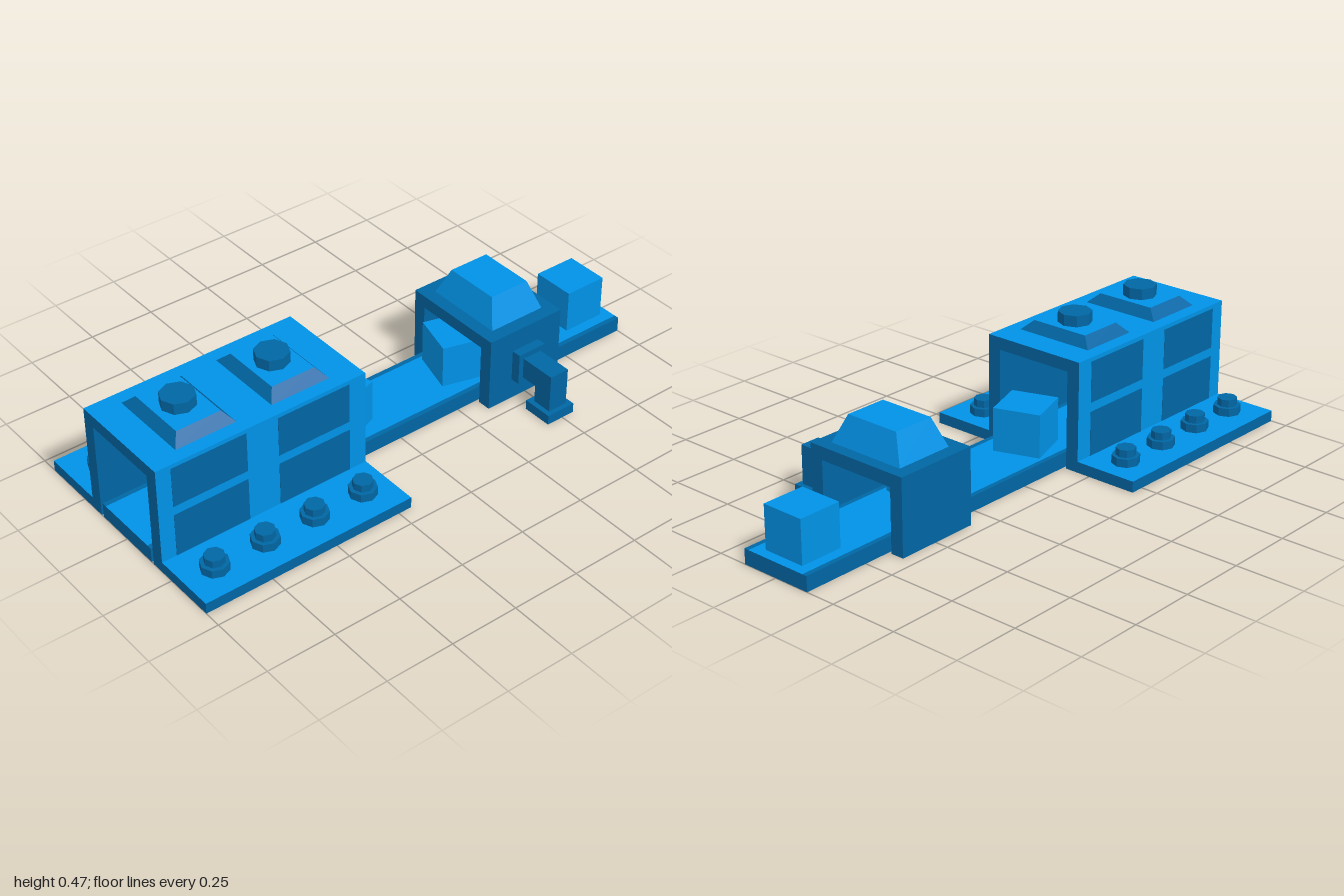
import * as THREE from 'three';

export function createModel() {
  const model = new THREE.Group();
  const light = new THREE.MeshStandardMaterial({ color: 0x0092e6 });
  light.name = 'bright blue';
  const dark = new THREE.MeshStandardMaterial({ color: 0x0066a4 });
  dark.name = 'deep blue';

  function add(name, geometry, material, parent = model) {
    const mesh = new THREE.Mesh(geometry, material);
    mesh.name = name;
    parent.add(mesh);
    return mesh;
  }

  // Box given by its lowest and highest corner
  function block(name, [x0, y0, z0], [x1, y1, z1], material, parent) {
    const g = new THREE.BoxGeometry(x1 - x0, y1 - y0, z1 - z0);
    g.translate((x0 + x1) / 2, (y0 + y1) / 2, (z0 + z1) / 2);
    return add(name, g, material, parent);
  }

  // Box face order: +x, -x, +y, -y, +z, -z
  const lightTop = [dark, dark, light, dark, dark, dark];
  const sheet = [dark, dark, light, light, dark, dark];
  const rail = [dark, dark, dark, light, dark, dark];

  // Thin-walled slab, open underneath; railWidth gives dark strips along its top
  function hollowSlab(name, x0, x1, z0, z1, h, railWidth) {
    const group = new THREE.Group();
    group.name = name;
    model.add(group);
    const t = 0.003;
    const y = h - t;
    block(name + 'Top', [x0 + railWidth, y, z0], [x1 - railWidth, h, z1], sheet, group);
    if (railWidth) {
      block(name + 'Rail', [x0, y, z0], [x0 + railWidth, h, z1], rail, group);
      block(name + 'Rail', [x1 - railWidth, y, z0], [x1, h, z1], rail, group);
    }
    block(name + 'Side', [x0, 0, z0], [x0 + t, y, z1], dark, group);
    block(name + 'Side', [x1 - t, 0, z0], [x1, y, z1], dark, group);
    block(name + 'End', [x0 + t, 0, z0], [x1 - t, y, z0 + t], dark, group);
    block(name + 'End', [x0 + t, 0, z1 - t], [x1 - t, y, z1], dark, group);
  }

  // Four-sided block with sloping sides; half sizes at base and top
  function frustum(name, [bx, bz], [tx, tz], h, material) {
    const g = new THREE.BoxGeometry(2, h, 2);
    const p = g.attributes.position;
    for (let i = 0; i < p.count; i++) {
      const top = p.getY(i) > 0;
      p.setX(i, p.getX(i) * (top ? tx : bx));
      p.setZ(i, p.getZ(i) * (top ? tz : bz));
    }
    g.translate(0, h / 2, 0);
    g.computeVertexNormals();
    return add(name, g, material);
  }

  // Octagonal prism with flat sides
  function octagon(name, r, h, x, y, z) {
    const g = new THREE.CylinderGeometry(r, r, h, 8).toNonIndexed();
    g.computeVertexNormals();
    add(name, g, dark).position.set(x, y + h / 2, z);
  }

  // Conveyor with side rails
  hollowSlab('conveyor', -0.138, 0.138, -1, 1, 0.055, 0.018);

  // Cargo boxes riding on the belt
  for (const [z, size, turn] of [[0.163, 0.17, 0.33], [-0.35, 0.17, -0.27], [-0.882, 0.162, 0]]) {
    const box = add('cargoBox', new THREE.BoxGeometry(size, 0.158, size), light);
    box.position.set(0, 0.134, z);
    box.rotation.y = turn;
  }

  // Tunnel: walls, side panels, bolted flanges
  for (const s of [-1, 1]) {
    const span = (a, b) => (s > 0 ? [a, b] : [-b, -a]);
    const [f0, f1] = span(0.15, 0.437);
    hollowSlab('flange', f0, f1, 0.2, 1, 0.04, 0);
    const [w0, w1] = span(0.15, 0.2);
    const wallMaterials = [s > 0 ? light : dark, s > 0 ? dark : light, light, light, dark, dark];
    block('tunnelWall', [w0, 0.038, 0.2], [w1, 0.355, 1], wallMaterials);

    const [p0, p1] = span(0.199, 0.201);
    for (const z of [0.265, 0.665]) {
      for (const [y0, y1] of [[0.04, 0.203], [0.236, 0.385]]) {
        block('sidePanel', [p0, y0, z], [p1, y1, z + 0.28], dark);
      }
    }
    for (const z of [0.307, 0.501, 0.694, 0.886]) {
      octagon('flangeNut', 0.049, 0.03, s * 0.322, 0.04, z);
      octagon('flangeBolt', 0.035, 0.027, s * 0.322, 0.07, z);
    }
  }
  block('tunnelRoof', [-0.2, 0.355, 0.2], [0.2, 0.4, 1], [light, light, light, dark, dark, dark]);

  // Roof mounts with large bolts
  for (const z of [0.419, 0.779]) {
    frustum('roofMount', [0.15, 0.113], [0.112, 0.083], 0.035, lightTop).position.set(0, 0.4, z);
    octagon('roofBolt', 0.06, 0.04, 0, 0.435, z);
  }

  // Scanner arch over the belt
  const arch = new THREE.Shape();
  [[-0.2, 0], [-0.15, 0], [-0.15, 0.23], [0.15, 0.23], [0.15, 0], [0.2, 0], [0.2, 0.277], [-0.2, 0.277]]
    .forEach(([x, y], i) => (i ? arch.lineTo(x, y) : arch.moveTo(x, y)));
  arch.closePath();
  add('scannerArch', new THREE.ExtrudeGeometry(arch, { depth: 0.314, bevelEnabled: false }), dark)
    .position.z = -0.649;
  frustum('scannerHood', [0.15, 0.111], [0.105, 0.078], 0.1, light).position.set(0, 0.277, -0.494);

  // Side pipe: mounting plate, arm, drop and foot
  block('pipePlate', [0.2, 0.08, -0.549], [0.235, 0.198, -0.435], dark);
  block('pipeArm', [0.235, 0.1, -0.53], [0.373, 0.178, -0.454], dark);
  block('pipeDrop', [0.298, 0.036, -0.53], [0.373, 0.1, -0.454], dark);
  block('pipeFoot', [0.278, 0, -0.549], [0.391, 0.036, -0.435], dark);

  return model;
}
